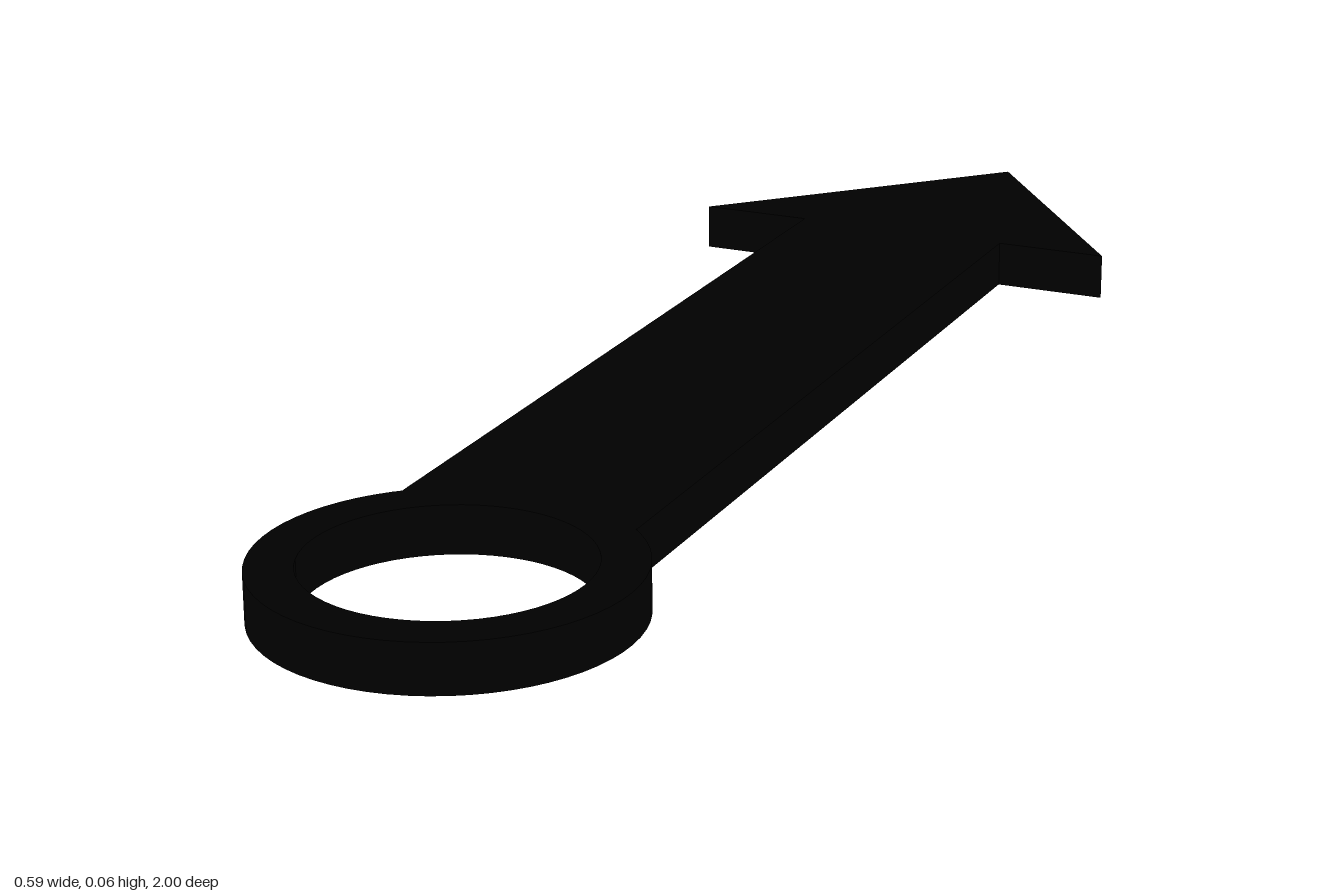
import * as THREE from 'three';

const THICK = 0.06;

export function createModel() {
  const group = new THREE.Group();
  const black = new THREE.MeshStandardMaterial({ color: 0x000000 });
  black.name = 'black';

  const add = (name, geometry, x, y, z) => {
    const mesh = new THREE.Mesh(geometry, black);
    mesh.name = name;
    mesh.position.set(x, y, z);
    group.add(mesh);
    return mesh;
  };

  // Flat ring at the front end
  const outline = new THREE.Shape().absarc(0, 0, 0.22, 0, Math.PI * 2);
  outline.holes.push(new THREE.Path().absarc(0, 0, 0.165, 0, Math.PI * 2, true));
  const ring = new THREE.ExtrudeGeometry(outline, { depth: THICK, bevelEnabled: false, curveSegments: 32 });
  ring.rotateX(-Math.PI / 2);
  add('ring', ring, 0, 0, 0.78);

  // Straight shaft from the ring to the head
  const shaftFront = 0.615, headBase = -0.555;
  add('shaft', new THREE.BoxGeometry(0.294, THICK, shaftFront - headBase), 0, THICK / 2, (shaftFront + headBase) / 2);

  // Arrowhead: a flattened four-sided pyramid pointing to the back
  const length = 1 + headBase;
  const head = new THREE.ConeGeometry(Math.SQRT1_2, length, 4).toNonIndexed();
  head.rotateY(Math.PI / 4);
  head.rotateX(-Math.PI / 2);
  head.scale(0.592, THICK, 1);
  head.computeVertexNormals();
  add('arrowhead', head, 0, THICK / 2, headBase - length / 2);

  return group;
}
